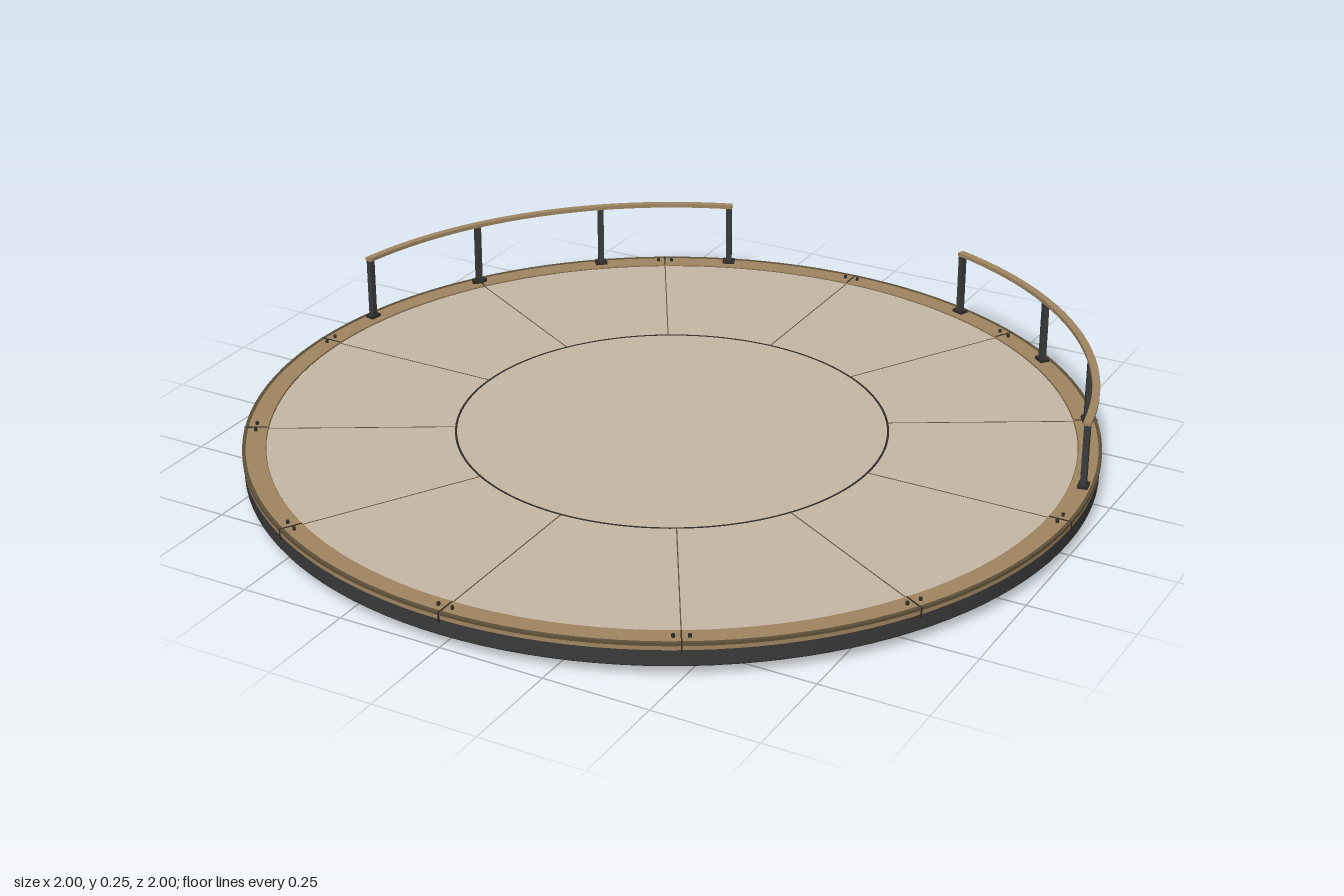
import * as THREE from 'three';
import { toCreasedNormals } from 'three/addons/utils/BufferGeometryUtils.js';

const paint = (name, color) => Object.assign(new THREE.MeshStandardMaterial({ color }), { name });

export function createModel() {
  const deckTan = paint('deck tan', 0xc6b7a4);
  const bronze = paint('bronze', 0xa08560);
  const charcoal = paint('charcoal', 0x3a3a3a);
  const black = paint('underside black', 0x262626);
  const seamDark = paint('seam dark', 0x2e2a27);
  const edgeBrown = paint('edge brown', 0x5f5139);

  const model = new THREE.Group();
  model.name = 'roundPlatform';

  const add = (name, geometry, material, parent = model) => {
    const mesh = new THREE.Mesh(geometry, material);
    mesh.name = name;
    parent.add(mesh);
    return mesh;
  };
  const disc = (name, r, y0, y1, material) => {
    const mesh = add(name, new THREE.CylinderGeometry(r, r, y1 - y0, 128), material);
    mesh.position.y = (y0 + y1) / 2;
  };
  // Ring with a rectangular section; start and sweep are lathe angles from +z toward +x
  const ring = (name, r0, r1, y0, y1, material, parent = model, start = 0, sweep = Math.PI * 2) => {
    const profile = [[r0, y0], [r1, y0], [r1, y1], [r0, y1], [r0, y0]]
      .map(([r, y]) => new THREE.Vector2(r, y));
    const steps = Math.max(24, Math.round(sweep / Math.PI * 64));
    return add(name, toCreasedNormals(new THREE.LatheGeometry(profile, steps, start, sweep), 0.5), material, parent);
  };
  // Empty group turned so that its +z points outward along the given angle
  const spoke = (name, angle, parent = model) => {
    const group = new THREE.Group();
    group.name = name;
    group.rotation.y = angle;
    parent.add(group);
    return group;
  };
  const block = (name, w, h, d, x, y, z, material, parent) =>
    add(name, new THREE.BoxGeometry(w, h, d), material, parent).position.set(x, y, z);

  // Stacked base
  disc('footPlate', 0.245, 0, 0.03, bronze);
  disc('lowerBase', 0.87, 0.017, 0.04, black);
  disc('bodyBottom', 0.994, 0.027, 0.031, black);
  disc('body', 0.996, 0.03, 0.067, charcoal);

  // Deck and bronze border
  disc('deck', 0.945, 0.06, 0.08, deckTan);
  ring('rim', 0.945, 0.993, 0.06, 0.083, bronze);
  ring('rimStripe', 0.99, 0.998, 0.067, 0.077, bronze);
  ring('rimEdge', 0.991, 0.999, 0.077, 0.084, edgeBrown);

  // Fine seams in the deck
  ring('innerSeam', 0.503, 0.508, 0.079, 0.0806, seamDark);
  ring('outerSeam', 0.9435, 0.9455, 0.079, 0.0806, edgeBrown);

  // Twelve panel seams, rim joints and paired bolts
  for (let i = 0; i < 12; i++) {
    const joint = spoke('panelJoint', i * Math.PI / 6);
    block('panelSeam', 0.0025, 0.002, 0.438, 0, 0.0796, 0.725, edgeBrown, joint);
    block('rimJoint', 0.003, 0.025, 0.054, 0, 0.0718, 0.973, seamDark, joint);
    for (const side of [-1, 1]) {
      const bolt = add('rimBolt', new THREE.CylinderGeometry(0.004, 0.004, 0.008, 8), seamDark, joint);
      bolt.position.set(side * 0.017, 0.086, 0.972);
    }
  }

  // Two curved railings at the back, mirrored
  for (const side of [-1, 1]) {
    const railing = new THREE.Group();
    railing.name = side > 0 ? 'leftRailing' : 'rightRailing';
    model.add(railing);
    const deg = Math.PI / 180;
    for (const a of [100, 120, 140, 160]) {
      const post = spoke('railPost', side * a * deg, railing);
      block('postBase', 0.03, 0.008, 0.024, 0, 0.086, 0.975, seamDark, post);
      block('postShaft', 0.014, 0.157, 0.014, 0, 0.1625, 0.975, charcoal, post);
    }
    const start = side > 0 ? 99.6 : -160.4;
    ring('handrail', 0.966, 0.984, 0.238, 0.247, bronze, railing, start * deg, 60.8 * deg);
    for (const a of [99.6, 160.4]) {
      const end = spoke('handrailEnd', side * a * deg, railing);
      block('endCap', 0.002, 0.009, 0.018, 0, 0.2425, 0.975, bronze, end);
    }
  }
  return model;
}
